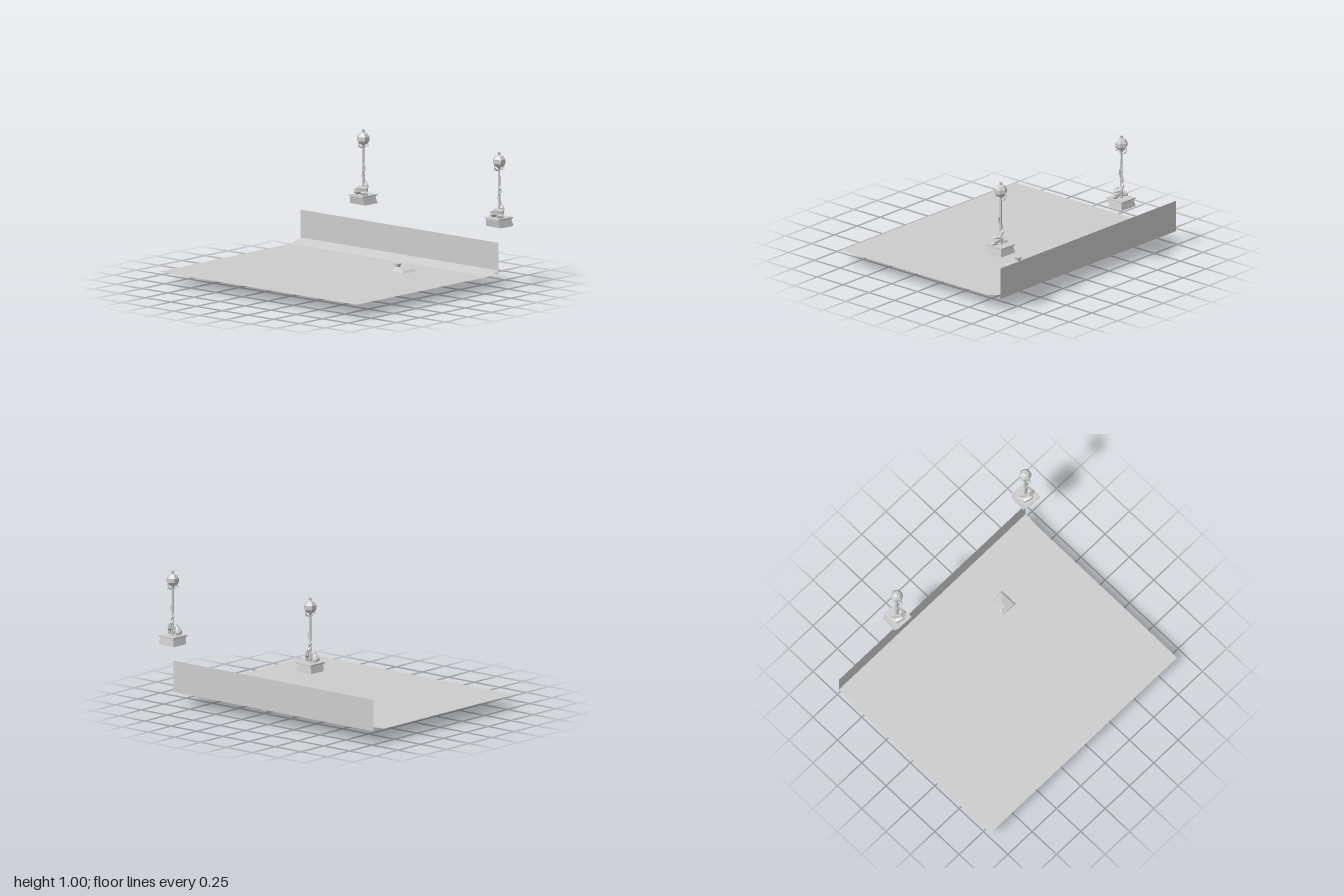
import * as THREE from 'three';

const grey = new THREE.MeshStandardMaterial({ color: 0xcccccc, flatShading: true, side: THREE.DoubleSide });
grey.name = 'plain grey';

function mesh(name, geometry, x = 0, y = 0, z = 0) {
  const m = new THREE.Mesh(geometry, grey);
  m.name = name;
  m.position.set(x, y, z);
  return m;
}

// Joins equal-sized rings of points (counter-clockwise seen from the start), capping chosen ends
function loft(rings, capStart = true, capEnd = true) {
  const n = rings[0].length, pos = [], idx = [];
  rings.forEach(r => r.forEach(p => pos.push(p.x, p.y, p.z)));
  for (let i = 0; i < rings.length - 1; i++) {
    for (let j = 0; j < n; j++) {
      const a = i * n + j, b = i * n + (j + 1) % n;
      idx.push(a, b, b + n, a, b + n, a + n);
    }
  }
  const e = (rings.length - 1) * n;
  for (let j = 1; j < n - 1; j++) {
    if (capStart) idx.push(0, j + 1, j);
    if (capEnd) idx.push(e, e + j, e + j + 1);
  }
  const g = new THREE.BufferGeometry();
  g.setAttribute('position', new THREE.Float32BufferAttribute(pos, 3));
  g.setIndex(idx);
  const flat = g.toNonIndexed();
  flat.computeVertexNormals();
  return flat;
}

// Rectangular ring; slope raises the front edge
function rectRing(cx, cy, cz, hx, hz, slope = 0) {
  return [[-1, 1], [1, 1], [1, -1], [-1, -1]].map(([sx, sz]) =>
    new THREE.Vector3(cx + sx * hx, cy + sz * hz * slope, cz + sz * hz));
}

// Tapered tube through [x, y, z, radius] stations
function taperedTube(stations, sides) {
  const pts = stations.map(s => new THREE.Vector3(s[0], s[1], s[2]));
  const rings = stations.map((s, i) => {
    const t = pts[Math.min(i + 1, pts.length - 1)].clone().sub(pts[Math.max(i - 1, 0)]).normalize();
    const u = new THREE.Vector3(0, 1, 0).addScaledVector(t, -t.y);
    if (u.length() < 0.05) u.set(1, 0, 0);
    u.normalize();
    const v = t.clone().cross(u);
    return Array.from({ length: sides }, (_, j) => {
      const a = j / sides * Math.PI * 2;
      return pts[i].clone().addScaledVector(u, Math.cos(a) * s[3]).addScaledVector(v, Math.sin(a) * s[3]);
    });
  });
  return loft(rings);
}

function createLamp() {
  const lamp = new THREE.Group();

  // Hollow sloping plinth with a thin slab on top
  lamp.add(mesh('plinth', loft([
    rectRing(0.006, 0.459, 0, 0.066, 0.075),
    rectRing(-0.005, 0.515, 0, 0.067, 0.062)], false, false)));
  lamp.add(mesh('plinthSlab', new THREE.BoxGeometry(0.155, 0.01, 0.142), -0.004, 0.52, 0));

  // Post
  lamp.add(mesh('post', new THREE.CylinderGeometry(0.008, 0.011, 0.37, 6), 0, 0.708, 0));
  lamp.add(mesh('postCollar', new THREE.CylinderGeometry(0.017, 0.009, 0.02, 6), 0, 0.887, 0));

  // Sea creature coiled round the foot, its tail climbing the post
  lamp.add(mesh('coiledFish', taperedTube([
    [0.012, 0.54, -0.052, 0.014],
    [-0.03, 0.55, -0.032, 0.027],
    [-0.04, 0.568, 0.005, 0.033],
    [-0.012, 0.56, 0.032, 0.03],
    [0.01, 0.585, 0.02, 0.021],
    [0.012, 0.62, 0.0, 0.014],
    [0.006, 0.66, -0.006, 0.012],
    [-0.004, 0.70, 0.004, 0.011],
    [-0.003, 0.735, 0.01, 0.009],
    [0, 0.762, 0.008, 0.003]], 6)));
  lamp.add(mesh('fishHead', taperedTube([
    [-0.03, 0.54, 0.02, 0.025],
    [-0.025, 0.54, 0.045, 0.02],
    [-0.018, 0.533, 0.062, 0.008]], 5)));
  const fin = mesh('tailFin', new THREE.ConeGeometry(0.012, 0.045, 4), 0, 0.728, 0.02);
  fin.scale.x = 0.4;
  lamp.add(fin);

  // Six-sided globe and flared cap
  lamp.add(mesh('globe', new THREE.SphereGeometry(0.049, 6, 5), 0, 0.938, 0));
  lamp.add(mesh('cap', new THREE.CylinderGeometry(0.013, 0.008, 0.022, 6), 0, 0.993, 0));
  lamp.add(mesh('capBase', new THREE.CylinderGeometry(0.01, 0.022, 0.01, 6), 0, 0.981, 0));

  // Curled brackets either side of the globe
  for (const s of [-1, 1]) {
    lamp.add(mesh('bracket', taperedTube([
      [0, 0.872, 0, 0.005],
      [s * 0.03, 0.876, 0, 0.005],
      [s * 0.049, 0.895, 0, 0.005],
      [s * 0.053, 0.918, 0, 0.004],
      [s * 0.045, 0.942, 0, 0.003]], 4)));
    lamp.add(mesh('bracketCurl', taperedTube([
      [s * 0.042, 0.886, 0, 0.005],
      [s * 0.052, 0.882, 0, 0.004],
      [s * 0.058, 0.875, 0, 0.001]], 4)));
  }
  return lamp;
}

export function createModel() {
  const model = new THREE.Group();
  model.name = 'quaysideScene';

  // Ground sheet, sloping verge and boundary wall: one thin strip each, running front to back
  const strips = [
    ['ground', -0.82, 0.10, 0.613, 0.10],
    ['verge', 0.613, 0.10, 0.735, 0.13],
    ['wall', 0.735, 0.10, 0.735, 0.335]];
  for (const [name, x1, y1, x2, y2] of strips) {
    const g = new THREE.PlaneGeometry(Math.hypot(x2 - x1, y2 - y1), 1.92);
    g.rotateX(-Math.PI / 2);
    g.rotateZ(Math.atan2(y2 - y1, x2 - x1));
    model.add(mesh(name, g, (x1 + x2) / 2, (y1 + y2) / 2, -0.04));
  }

  // Pair of lamps
  for (const [name, z] of [['frontLamp', 0.922], ['backLamp', -0.398]]) {
    const lamp = createLamp();
    lamp.name = name;
    lamp.position.set(0.741, 0, z);
    lamp.rotation.y = -0.04;
    model.add(lamp);
  }

  // Tied sack, tilted and half sunk through the ground
  model.add(mesh('sack', loft([
    rectRing(0.382, 0.02, 0.335, 0.075, 0.058, 0.33),
    rectRing(0.377, 0.075, 0.327, 0.083, 0.068, 0.25),
    rectRing(0.37, 0.108, 0.315, 0.062, 0.055, 0.12),
    rectRing(0.348, 0.132, 0.288, 0.011, 0.011),
    rectRing(0.348, 0.157, 0.286, 0.018, 0.018)])));
  return model;
}
